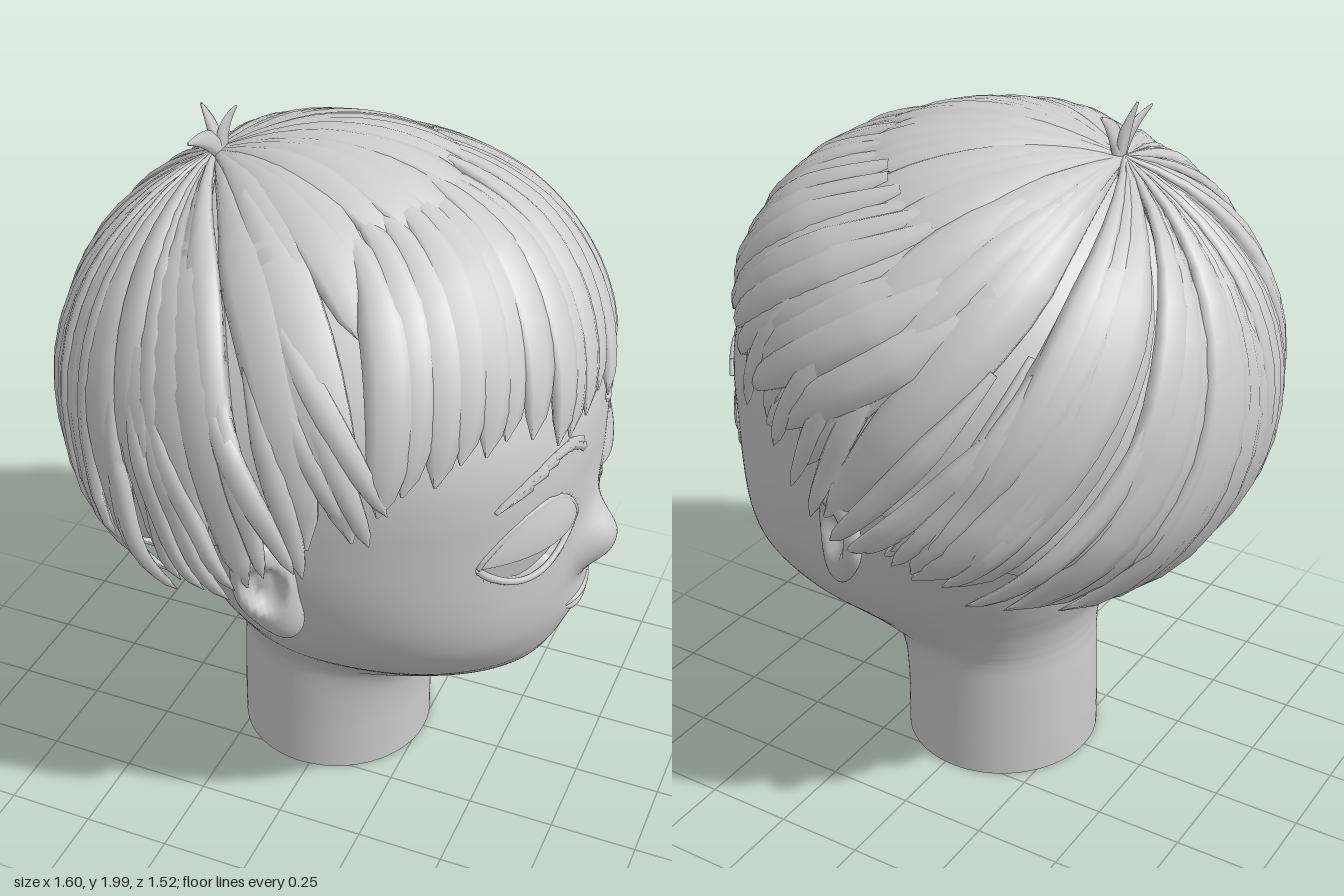
import * as THREE from 'three';
import { mergeGeometries } from 'three/addons/utils/BufferGeometryUtils.js';
import { ParametricGeometry } from 'three/addons/geometries/ParametricGeometry.js';

const V = (x, y, z) => new THREE.Vector3(x, y, z);
const { clamp, lerp, mapLinear } = THREE.MathUtils;
const smooth = THREE.MathUtils.smoothstep;
let seed = 7;
const rand = () => (seed = (seed * 16807) % 2147483647) / 2147483647;
const vary = (a) => (rand() - 0.5) * 2 * a;

// Head and neck sections: height, back x, front x, half width
const SECTIONS = [
  [0.01, -0.31, 0.26, 0.29], [0.1, -0.31, 0.26, 0.288], [0.2, -0.308, 0.262, 0.286], [0.3, -0.305, 0.275, 0.286],
  [0.36, -0.302, 0.31, 0.287], [0.39, -0.302, 0.36, 0.291], [0.405, -0.302, 0.43, 0.296], [0.42, -0.303, 0.5, 0.304],
  [0.45, -0.306, 0.57, 0.325], [0.5, -0.316, 0.63, 0.37], [0.55, -0.335, 0.658, 0.418], [0.6, -0.355, 0.678, 0.464],
  [0.7, -0.39, 0.7, 0.54], [0.8, -0.435, 0.71, 0.592], [0.9, -0.5, 0.713, 0.626], [1, -0.575, 0.715, 0.649],
  [1.1, -0.635, 0.718, 0.662], [1.2, -0.675, 0.718, 0.669], [1.3, -0.692, 0.706, 0.668], [1.4, -0.688, 0.675, 0.652],
  [1.5, -0.655, 0.625, 0.61], [1.6, -0.6, 0.555, 0.54], [1.75, -0.45, 0.38, 0.38], [1.85, -0.22, 0.15, 0.18],
  [1.88, -0.04, -0.02, 0.01],
];
const frontCurve = new THREE.CatmullRomCurve3(SECTIONS.map((s) => V(s[2], s[0], s[3])), false, 'catmullrom', 0.5);
const backCurve = new THREE.CatmullRomCurve3(SECTIONS.map((s) => V(s[1], s[0], 0)), false, 'catmullrom', 0.5);
const roundness = (y) => 2 + 0.3 * smooth(y, 0.41, 0.75);
// x of the widest point, further forward at the cheeks
const middle = (y) => -0.03 + 0.14 * smooth(y, 0.38, 0.62) * (1 - smooth(y, 0.7, 1.15));

// Nose and mouth relief on the face
function relief(y, z) {
  const r2 = ((y - 0.885) / 0.085) ** 2 + (z / 0.09) ** 2;
  const tip = 0.072 * Math.exp(-Math.pow(r2, 1.3));
  const bridge = 0.02 * Math.exp(-(((y - 0.95) / 0.11) ** 2) - (z / 0.07) ** 2);
  const mouth = 0.018 * Math.exp(-(((y - 0.68) / 0.07) ** 2) - (z / 0.12) ** 2);
  return tip + bridge + mouth;
}

// x of the face surface at a height and side position
function faceX(y, z) {
  let lo = 0, hi = 1;
  for (let i = 0; i < 38; i++) {
    const mid = (lo + hi) / 2;
    if (frontCurve.getPoint(mid).y < y) lo = mid; else hi = mid;
  }
  const f = frontCurve.getPoint(lo), p = roundness(y), m = middle(y);
  return m + (f.x - m) * Math.pow(Math.max(0, 1 - Math.pow(Math.abs(z) / f.z, p)), 1 / p) + relief(y, z);
}

// Almond eye outline
const EYE = { y: 1.035, z: 0.285, half: 0.172, up: 0.125, down: 0.102 };
const almond = (s) => Math.pow(Math.max(0, 1 - s * s), 0.85);
function socket(y, z) {
  const s = (Math.abs(z) - EYE.z) / EYE.half;
  if (Math.abs(s) >= 1) return 0;
  const h = (y > EYE.y ? EYE.up : EYE.down) * almond(s);
  return 0.085 * smooth(1 - Math.abs(y - EYE.y) / h, -0.02, 0.14);
}

function headSurface(u, v, out) {
  const f = frontCurve.getPoint(clamp(v, 0, 1)), b = backCurve.getPoint(clamp(v, 0, 1));
  const s = (u - 0.5) * Math.PI * 2, a = s - 0.55 * Math.sin(s);
  const c = Math.cos(a), n = Math.sin(a), front = c > 0, m = middle(f.y);
  const e = front ? 2 / roundness(f.y) : 1;
  const z = f.z * Math.sign(n) * Math.pow(Math.abs(n), e);
  let x = m + (front ? f.x - m : m - b.x) * Math.sign(c) * Math.pow(Math.abs(c), e);
  if (front) x += (relief(f.y, z) - socket(f.y, z)) * smooth(c, 0, 0.4);
  out.set(x, f.y, z);
}

// Ear shell: broad at the top, narrow at the lobe, dished on the outside
function earSurface(u, v, out) {
  const a = u * Math.PI * 2, y = -0.17 * Math.cos(v * Math.PI);
  const r = Math.pow(Math.max(0, Math.sin(v * Math.PI)), 0.8), w = lerp(0.06, 0.105, v);
  const x = r * Math.cos(a) * w;
  let z = r * Math.sin(a) * 0.042;
  if (z > 0) z -= 0.045 * (1 - smooth(Math.hypot(x / w, (y - 0.035) / 0.12), 0.25, 0.8));
  out.set(x + 0.03 * smooth(-y, 0, 0.17), y, z);
}

// Tapered strand with an oval section along path(t) -> { p, n }
function strand(path, width, thick, along = 14, around = 7) {
  return new ParametricGeometry((u, v, out) => {
    const { p, n } = path(v);
    const tan = path(v + 0.01).p.clone().sub(path(v - 0.01).p).normalize();
    const side = tan.cross(n).normalize();
    const a = u * Math.PI * 2;
    out.copy(p).addScaledVector(side, Math.cos(a) * width(v)).addScaledVector(n, Math.sin(a) * thick(v));
  }, around, along);
}

// Hair envelope: unit direction -> point, hanging straighter at the sides
const hairPoint = (d, k = 1) => V(-0.02 + d.x * (d.x > 0 ? 0.785 : 0.768) * k, 1.22 + d.y * 0.708 * k,
  d.z * 0.738 * k * (1 + 0.07 * smooth(-d.y, 0, 0.35)));
const WHORL = V(-0.42, 0.88, 0.07).normalize();

// Hairline height by angle from the face, in degrees
const RIM = [[0, 1.34], [40, 1.37], [58, 1.27], [75, 1.1], [85, 0.99], [96, 0.95], [108, 0.91], [122, 0.8], [150, 0.68], [180, 0.65]];
function rimDirection(a, lift = 0) {
  const deg = Math.abs(Math.atan2(Math.sin(a), Math.cos(a))) * 180 / Math.PI;
  let i = 0;
  while (i < RIM.length - 2 && deg > RIM[i + 1][0]) i++;
  const y = mapLinear(deg, RIM[i][0], RIM[i + 1][0], RIM[i][1], RIM[i + 1][1]) + lift;
  const dy = (y - 1.22) / 0.708, r = Math.sqrt(1 - dy * dy);
  return V(r * Math.cos(a), dy, r * Math.sin(a));
}

// Swirling arc from the whorl to the hairline
function hairArc(a, lift, swirl) {
  const end = rimDirection(a, lift), w = WHORL.angleTo(end);
  const bow = WHORL.clone().cross(end).normalize();
  return (t) => WHORL.clone().multiplyScalar(Math.sin((1 - t) * w) / Math.sin(w))
    .addScaledVector(end, Math.sin(t * w) / Math.sin(w))
    .addScaledVector(bow, swirl * Math.sin(Math.PI * t)).normalize();
}

function hairLock(a, { from = 0, to = 1, lift = 0, k = 0.985, w = 0.06, h = 0.026, swirl = 0.16 }) {
  const arc = hairArc(a, lift, swirl);
  const path = (t) => {
    const d = arc(from + (to - from) * t);
    return { p: hairPoint(d, k - 0.02 * t ** 4), n: d };
  };
  const taper = (t) => Math.max(0.03, Math.min(1, 0.3 + t * 1.9)) * Math.sqrt(Math.max(0.002, 1 - Math.max(0, (t - 0.5) / 0.5) ** 1.6));
  const spread = (t) => Math.min(1, 0.38 + 1.5 * (from + (to - from) * t));
  return strand(path, (t) => w * taper(t) * spread(t), (t) => h * taper(t));
}

export function createModel() {
  const group = new THREE.Group();
  const clay = new THREE.MeshStandardMaterial({ color: 0xcccccc, side: THREE.DoubleSide });
  clay.name = 'light grey clay';
  const add = (name, geometry, parent = group) => {
    const mesh = new THREE.Mesh(geometry, clay);
    mesh.name = name;
    parent.add(mesh);
    return mesh;
  };

  add('headAndNeck', new ParametricGeometry(headSurface, 160, 168));

  // Mouth
  const round = (t) => Math.sqrt(Math.max(0.03, 1 - (2 * t - 1) ** 2));
  const lip = (y, curl, half, size) => strand((t) => {
    const z = (t - 0.5) * 2 * half, py = y + curl * (z / half) ** 2;
    return { p: V(faceX(py, z) - 0.004, py, z), n: V(1, 0, 0) };
  }, (t) => size * round(t), (t) => 0.013 * round(t), 24, 10);
  add('upperLip', lip(0.697, 0.01, 0.115, 0.01));
  add('lowerLip', lip(0.667, 0.033, 0.105, 0.017));

  // Eyes, brows and ears, mirrored
  for (const side of [1, -1]) {
    const half = new THREE.Group();
    half.name = side > 0 ? 'leftFeatures' : 'rightFeatures';
    half.scale.z = side;
    group.add(half);
    const eyePatch = (top, bottom, depth) => new ParametricGeometry((u, v, out) => {
      const s = u * 2 - 1, y = EYE.y + lerp(top * almond(s), bottom * almond(s), v);
      const z = EYE.z + s * EYE.half;
      out.set(faceX(y, z) + depth(v, almond(s)), y, z);
    }, 28, 14);
    add('eyeball', eyePatch(0.03, -EYE.down, (v, m) => -0.004 - 0.03 * v * m), half);
    add('upperEyelid', eyePatch(EYE.up, -0.01, (v, m) => (v > 0.95 ? -0.015 : 0.006 + 0.022 * Math.sin(v * 1.8)) * m), half);
    const lidRim = (h) => strand((t) => {
      const s = t * 2 - 1, y = EYE.y + h * almond(s), z = EYE.z + s * EYE.half;
      return { p: V(faceX(y, z) - 0.003, y, z), n: V(1, 0, 0.3).normalize() };
    }, () => 0.01, () => 0.008, 28, 8);
    add('eyeRim', mergeGeometries([lidRim(EYE.up), lidRim(-EYE.down)]), half);

    // Brow made of short overlapping hairs
    const browY = (z) => 1.29 - 1.6 * (z - 0.2) ** 2 - (z < 0.2 ? 2.5 * (0.2 - z) ** 2 : 0);
    const browHairs = [];
    for (let i = 0; i < 26; i++) {
      const z0 = 0.11 + 0.26 * (i / 25), dy = vary(0.009);
      browHairs.push(strand((t) => {
        const z = z0 + 0.065 * t, y = browY(z) + dy + 0.008 * t - 0.008;
        return { p: V(faceX(y, z) + 0.004, y, z), n: V(1, 0, 0.4).normalize() };
      }, (t) => 0.015 * Math.sqrt(Math.max(0.01, 1.02 - t)), () => 0.01, 5, 5));
    }
    add('eyebrow', mergeGeometries(browHairs), half);

    const ear = add('ear', new ParametricGeometry(earSurface, 32, 28), half);
    ear.position.set(0.06, 0.965, 0.668);
    ear.rotation.set(0.14, 0.45, 0.1);
  }

  // Hair: under cap turned in along the hairline, then layers of locks
  add('hairCap', new ParametricGeometry((u, v, out) => {
    out.copy(hairPoint(hairArc(u * Math.PI * 2, 0.07, 0)(0.01 + v * 0.98), 0.965 - 0.22 * smooth(v, 0.94, 1)));
  }, 72, 34));

  const under = [], over = [], fringe = [], crown = [];
  const turn = Math.PI * 2;
  for (let i = 0; i < 38; i++) {
    const a = (i / 38) * turn + vary(0.05);
    if (Math.cos(a) < 0.55) under.push(hairLock(a, { lift: vary(0.05), k: 0.98 + vary(0.01), w: 0.09, h: 0.035, swirl: 0.14 + vary(0.06) }));
  }
  for (let i = 0; i < 40; i++) {
    const a = ((i + 0.5) / 40) * turn + vary(0.08);
    if (Math.cos(a) < 0.45) over.push(hairLock(a, { to: 0.75 + rand() * 0.24, lift: 0.03, k: 0.994 + vary(0.008), w: 0.055 + vary(0.015), h: 0.026, swirl: 0.14 + vary(0.1) }));
  }
  // Short spiky locks beside and over the ears
  for (const side of [1, -1]) {
    for (let i = 0; i < 12; i++) {
      const a = side * (1.02 + i * 0.085) + vary(0.03);
      over.push(hairLock(a, { from: 0.5 + vary(0.08), lift: -0.01 + vary(0.05), k: 0.992 + vary(0.012), w: 0.038, h: 0.022, swirl: 0.1 + vary(0.15) }));
    }
  }
  for (let i = 0; i < 23; i++) {
    const a = -1.12 + (i / 22) * 2.2 + vary(0.02);
    fringe.push(hairLock(a, { from: 0.42, lift: 0.01 + vary(0.04), k: 0.992 + vary(0.008), w: 0.074, h: 0.036, swirl: 0.36 }));
  }
  for (let i = 0; i < 20; i++) {
    const a = -1.2 + (i / 19) * 2.4 + vary(0.04);
    crown.push(hairLock(a, { to: 0.56 + vary(0.06), k: 0.996 + vary(0.005), w: 0.08, h: 0.022, swirl: 0.26 + vary(0.05) }));
  }
  add('hairUnderLayer', mergeGeometries(under));
  add('hairOverLayer', mergeGeometries(over));
  add('fringe', mergeGeometries(fringe));
  add('crownHair', mergeGeometries(crown));

  // Small tuft at the whorl
  const root = V(-0.33, 1.83, 0.05);
  const tuft = [[-0.37, 2.0, 0.08], [-0.34, 1.95, 0.22], [-0.31, 1.97, 0]].map(([x, y, z]) => {
    const path = new THREE.QuadraticBezierCurve3(root, V(-0.34, 1.92, 0.06), V(x, y, z));
    return strand((t) => ({ p: path.getPoint(t), n: V(1, 0.2, 0).normalize() }),
      (t) => 0.004 + 0.026 * Math.sin(Math.PI * clamp(t, 0, 1) ** 0.8), (t) => 0.003 + 0.018 * (1 - t), 10, 6);
  });
  add('tuft', mergeGeometries(tuft));
  return group;
}
